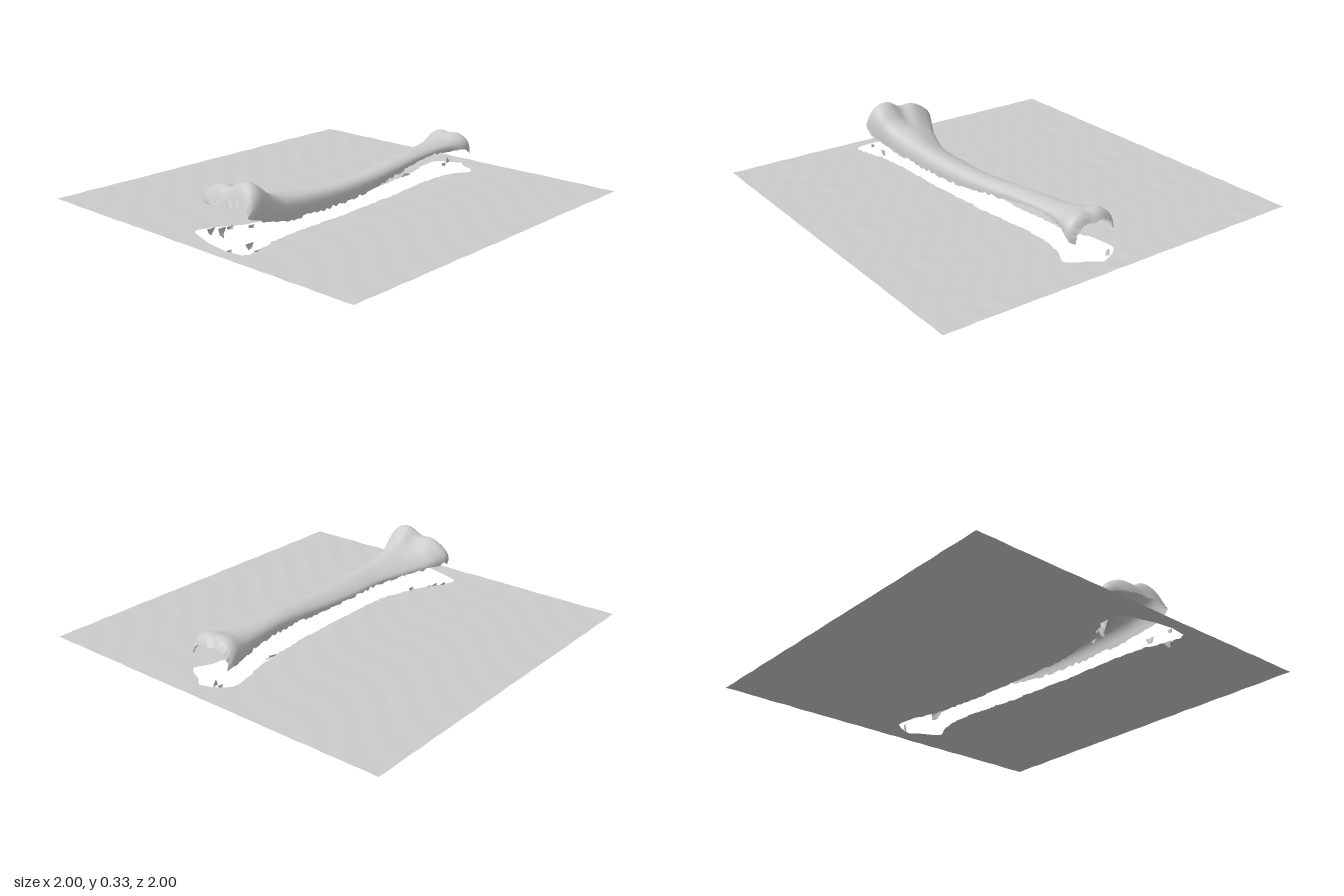
import * as THREE from 'three';

const material = new THREE.MeshStandardMaterial({ color: 0xcccccc, side: THREE.DoubleSide });

// repeatable value in -1..1 for ragged edges
const noise = (n) => {
  const s = Math.sin(n * 127.1 + 11.7) * 43758.5453;
  return 2 * (s - Math.floor(s)) - 1;
};

// smooth interpolation through rows of [x, a, b, ...]
function sample(rows, x) {
  const last = rows.length - 1;
  let i = 0;
  while (i < last - 1 && x > rows[i + 1][0]) i++;
  const p = rows[i], q = rows[i + 1], h = q[0] - p[0];
  const t = THREE.MathUtils.clamp((x - p[0]) / h, 0, 1);
  const slope = (j, k) => {
    const a = rows[Math.max(j - 1, 0)], b = rows[Math.min(j + 1, last)];
    return (b[k] - a[k]) / (b[0] - a[0]);
  };
  return p.slice(1).map((v, n) => {
    const k = n + 1, t2 = t * t, t3 = t2 * t;
    return v * (2 * t3 - 3 * t2 + 1) + q[k] * (3 * t2 - 2 * t3)
      + h * (slope(i, k) * (t3 - 2 * t2 + t) + slope(i + 1, k) * (t3 - t2));
  });
}

// smooth surface from point(i, j), facing up
function gridMesh(name, nu, nv, point) {
  const pos = [], index = [];
  for (let i = 0; i <= nu; i++) for (let j = 0; j <= nv; j++) pos.push(...point(i, j));
  for (let i = 0; i < nu; i++) for (let j = 0; j < nv; j++) {
    const a = i * (nv + 1) + j, b = a + nv + 1;
    index.push(a, a + 1, b, b, a + 1, b + 1);
  }
  const g = new THREE.BufferGeometry();
  g.setAttribute('position', new THREE.Float32BufferAttribute(pos, 3));
  g.setIndex(index);
  g.computeVertexNormals();
  const mesh = new THREE.Mesh(g, material);
  mesh.name = name;
  return mesh;
}

// bone sections: x, back z, front z, top y, back edge y, front edge y, tilt to front, groove depth
const SECTIONS = [
  [-0.86, 0.02, 0.265, 0.225, 0.20, 0.19, 0.01, 0.01],
  [-0.83, -0.07, 0.275, 0.295, 0.19, 0.18, 0.04, 0.02],
  [-0.79, -0.10, 0.28, 0.325, 0.18, 0.17, 0.05, 0.035],
  [-0.74, -0.08, 0.275, 0.30, 0.17, 0.155, 0.045, 0.035],
  [-0.68, -0.05, 0.26, 0.255, 0.16, 0.14, 0.035, 0.015],
  [-0.60, -0.01, 0.245, 0.225, 0.15, 0.12, 0.025, 0],
  [-0.40, 0.055, 0.235, 0.197, 0.14, 0.11, 0.02, 0],
  [-0.20, 0.062, 0.225, 0.187, 0.135, 0.11, 0.015, 0],
  [0.00, 0.065, 0.21, 0.187, 0.135, 0.12, 0.01, 0],
  [0.20, 0.06, 0.195, 0.20, 0.145, 0.145, 0.005, 0],
  [0.40, 0.045, 0.175, 0.214, 0.155, 0.17, 0, 0],
  [0.60, 0.015, 0.165, 0.224, 0.16, 0.18, 0, 0],
  [0.70, -0.015, 0.18, 0.238, 0.16, 0.18, 0, 0],
  [0.78, -0.04, 0.215, 0.266, 0.16, 0.17, 0, 0.01],
  [0.82, -0.04, 0.215, 0.255, 0.15, 0.155, 0, 0.015],
  [0.84, -0.025, 0.195, 0.225, 0.135, 0.14, 0, 0.01],
];

// open-bottomed scanned bone
function bone() {
  const nu = 150, nv = 32;
  return gridMesh('boneShell', nu, nv, (i, j) => {
    let x = -0.86 + 1.70 * i / nu;
    const [zb, zf, top, eb, ef, tilt, groove] = sample(SECTIONS, x);
    const a = Math.PI * j / nv, c = -Math.cos(a), arch = Math.pow(Math.sin(a) + 1e-9, 0.7);
    const edge = (eb + ef) / 2 + c * (ef - eb) / 2;
    let y = edge + (top - edge) * arch + tilt * c * arch - groove * Math.exp(-c * c * 12);
    if (j === 0 || j === nv) y += 0.008 * noise(Math.floor(i / 2) + j);
    if (i === 0 || i === nu) x += 0.008 * noise(j + i);
    return [x, y, (zb + zf) / 2 + c * (zf - zb) / 2];
  });
}

// opening in the ground sheet: x, back z, front z
const HOLE = [
  [-0.93, 0.13, 0.29], [-0.90, 0.0, 0.30], [-0.86, -0.10, 0.30], [-0.79, -0.10, 0.28],
  [-0.70, -0.05, 0.255], [-0.60, 0.0, 0.243], [-0.40, 0.055, 0.236], [-0.20, 0.06, 0.232],
  [0.0, 0.06, 0.22], [0.2, 0.053, 0.205], [0.4, 0.038, 0.18], [0.6, 0.01, 0.17],
  [0.7, -0.02, 0.19], [0.8, -0.04, 0.23], [0.84, -0.03, 0.21], [0.87, 0.0, 0.14], [0.9, 0.06, 0.11],
];

const sheetY = (x, z) => 0.052 + 0.002 * x
  + 0.0009 * Math.sin(31 * x + 17 * z + 2 * Math.sin(9 * z)) + 0.0007 * Math.sin(43 * z - 22 * x + 2 * Math.sin(13 * x));

// half of the sheet, behind (side 0) or in front of (side 1) the opening
function sheet(name, side) {
  const nu = 160, nv = 50;
  return gridMesh(name, nu, nv, (i, j) => {
    const x = -1 + 2 * i / nu;
    let rim = x < 0 ? 0.2 : 0.09;
    if (x > -0.931 && x < 0.901) rim = sample(HOLE, x)[side] + 0.005 * noise(Math.floor(i / 2) + side * 300);
    const t = j / nv;
    const z = side ? rim + (1 - rim) * t : -1 + (rim + 1) * t;
    return [x, sheetY(x, z), z];
  });
}

// torn scraps at the rim: x, z, width, drop (negative drop rises)
const SCRAPS = [
  [-0.92, 0.20, 0.03, 0.02], [-0.83, 0.29, 0.05, 0.03], [-0.80, 0.20, 0.05, 0.035],
  [-0.74, -0.05, 0.05, 0.052], [-0.78, -0.08, 0.05, 0.035], [-0.70, -0.04, 0.04, 0.02],
  [-0.62, 0.02, 0.04, 0.018], [0.50, 0.03, 0.08, -0.015], [0.87, 0.03, 0.03, -0.03], [0.85, 0.02, 0.03, 0.02],
];

function scraps() {
  const group = new THREE.Group();
  group.name = 'tornScraps';
  SCRAPS.forEach(([x, z, w, d], k) => {
    const m = gridMesh('scrap', 4, 2, (i, j) => {
      const t = i / 4 - 0.5, v = j / 2;
      return [x + t * w * (1 - 0.5 * v), 0.052 - d * v * (1 - 0.6 * Math.abs(t)), z + 0.012 * v * noise(k * 9 + i)];
    });
    group.add(m);
  });
  return group;
}

export function createModel() {
  const model = new THREE.Group();
  model.name = 'boneOnSheet';
  model.add(bone(), sheet('sheetBack', 0), sheet('sheetFront', 1), scraps());
  return model;
}
